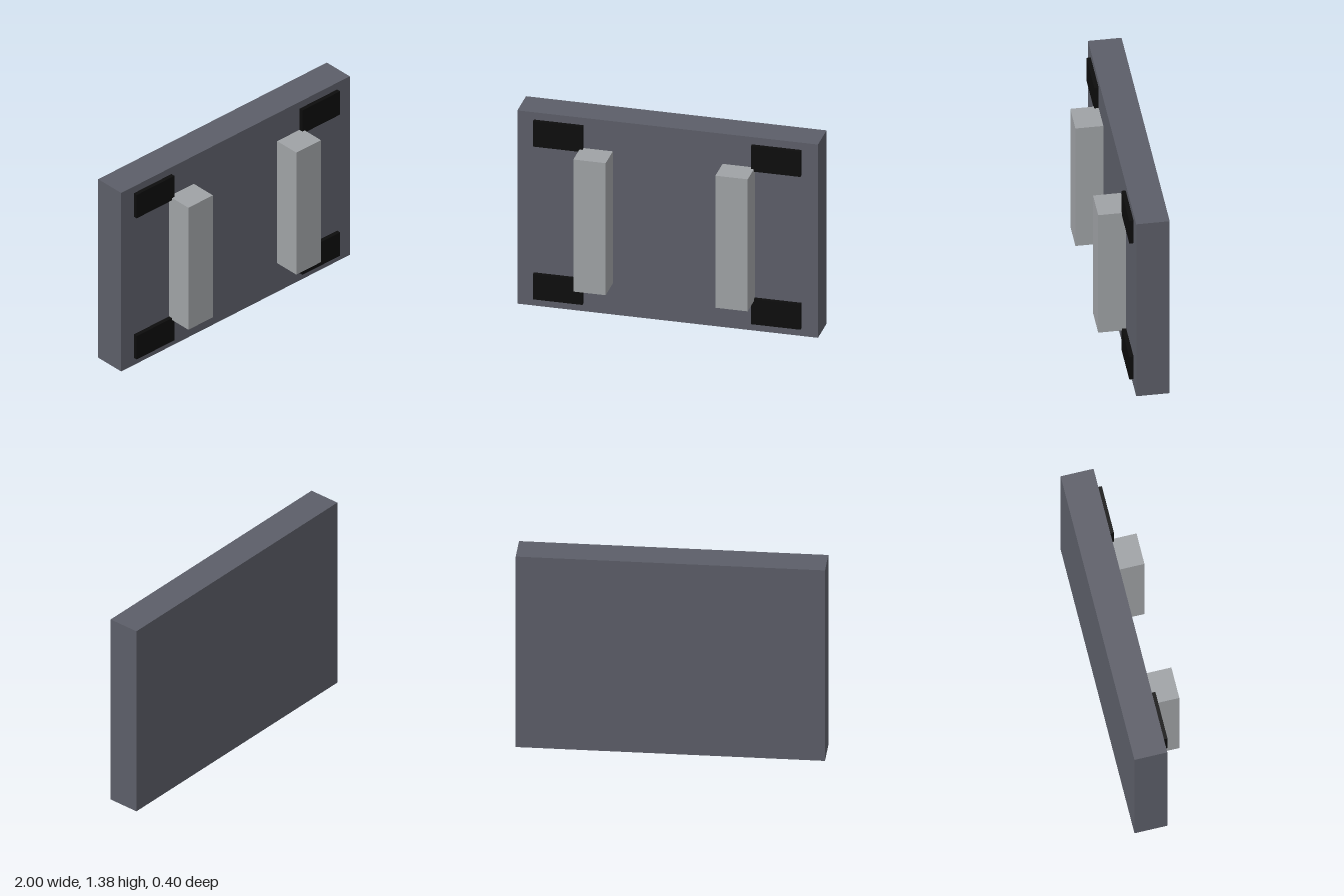
import * as THREE from 'three';

const material = (name, color) => {
  const m = new THREE.MeshStandardMaterial({ color });
  m.name = name;
  return m;
};

export function createModel() {
  const group = new THREE.Group();
  group.name = 'mountingPanel';
  const slate = material('slate grey', 0x5c5e68);
  const lightGrey = material('light grey', 0x9fa2a5);
  const black = material('black', 0x0c0c0c);

  // Box given by its minimum and maximum corners
  const box = (name, mat, [x0, y0, z0], [x1, y1, z1]) => {
    const mesh = new THREE.Mesh(new THREE.BoxGeometry(x1 - x0, y1 - y0, z1 - z0), mat);
    mesh.position.set((x0 + x1) / 2, (y0 + y1) / 2, (z0 + z1) / 2);
    mesh.name = name;
    group.add(mesh);
    return mesh;
  };

  // Main slab
  box('panel', slate, [-1, 0, -0.2], [1, 1.38, 0.018]);

  for (const [side, s] of [['left', 1], ['right', -1]]) {
    // Upright bar on the front face
    box(`${side}Bar`, lightGrey, [0.365, 0.222, 0.018], [0.58, 1.165, 0.2]).position.x *= s;

    // Corner pads, tucked slightly under the bar ends
    for (const [level, y] of [['Lower', 0.057], ['Upper', 1.148]]) {
      box(`${side}${level}Pad`, black, [0.56, y, 0.018], [0.89, y + 0.18, 0.046]).position.x *= s;
    }
  }
  return group;
}
